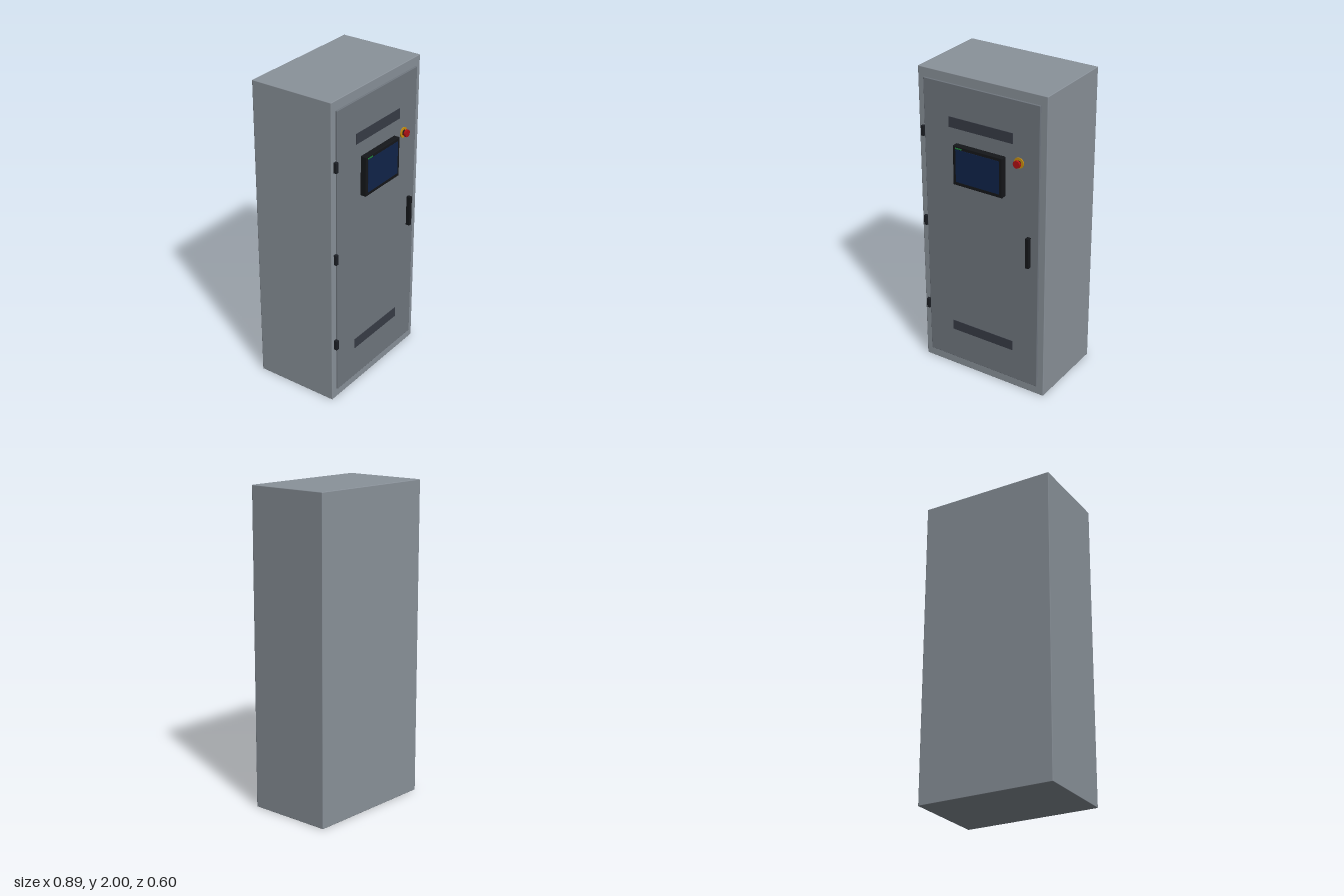
import * as THREE from 'three';
import { RoundedBoxGeometry } from 'three/addons/geometries/RoundedBoxGeometry.js';

const paint = (color) => new THREE.MeshStandardMaterial({ color });

export function createModel() {
  const cabinet = new THREE.Group();
  cabinet.name = 'controlCabinet';
  const steel = paint(0x8a929a), doorGrey = paint(0x70777f), ventGrey = paint(0x383c46);
  const black = paint(0x15171a), hingeBlack = paint(0x1c1f25), glass = paint(0x10244a);
  const green = paint(0x1f8a3c), yellow = paint(0xc89010), red = paint(0xb01014);

  function add(name, geometry, material, x, y, z, parent = cabinet) {
    const mesh = new THREE.Mesh(geometry, material);
    mesh.name = name;
    mesh.position.set(x, y, z);
    parent.add(mesh);
    return mesh;
  }
  // Box between two depths, with an optional softened edge
  function slab(name, material, x, y, w, h, z0, z1, radius = 0, parent = cabinet) {
    const d = z1 - z0;
    const geometry = radius ? new RoundedBoxGeometry(w, h, d, 2, radius) : new THREE.BoxGeometry(w, h, d);
    return add(name, geometry, material, x, y, (z0 + z1) / 2, parent);
  }
  // Round part whose axis points forward
  function disc(name, material, radius, z0, z1, parent) {
    const geometry = new THREE.CylinderGeometry(radius, radius, z1 - z0, 32).rotateX(Math.PI / 2);
    return add(name, geometry, material, 0, 0, (z0 + z1) / 2, parent);
  }

  // Enclosure and door
  slab('enclosure', steel, 0, 1, 0.886, 2, -0.302, 0.252, 0.004);
  slab('door', doorGrey, 0, 1, 0.8, 1.88, 0.245, 0.262, 0.003);

  // Ventilation panels above and below
  for (const y of [0.302, 1.702]) slab('ventPanel', ventGrey, 0, y, 0.444, 0.066, 0.258, 0.265);

  // Hinges on the model's right edge
  for (const y of [0.4, 1, 1.6]) slab('hinge', hingeBlack, -0.411, y, 0.022, 0.066, 0.25, 0.272, 0.002);

  // Door handle
  slab('handle', black, 0.336, 1, 0.023, 0.2, 0.26, 0.288, 0.002);

  // Operator display with status light
  const display = new THREE.Group();
  display.name = 'display';
  cabinet.add(display);
  slab('displayHousing', black, 0, 1.45, 0.344, 0.254, 0.26, 0.3, 0.004, display);
  slab('screen', glass, 0, 1.451, 0.304, 0.211, 0.296, 0.302, 0, display);
  slab('statusLight', green, -0.132, 1.563, 0.046, 0.008, 0.297, 0.3015, 0, display);

  // Emergency stop button
  const stop = new THREE.Group();
  stop.name = 'emergencyStop';
  stop.position.set(0.265, 1.562, 0);
  cabinet.add(stop);
  disc('stopCollar', yellow, 0.033, 0.26, 0.268, stop);
  disc('stopNeck', black, 0.017, 0.266, 0.281, stop);
  disc('stopButton', red, 0.023, 0.28, 0.295, stop);

  return cabinet;
}
